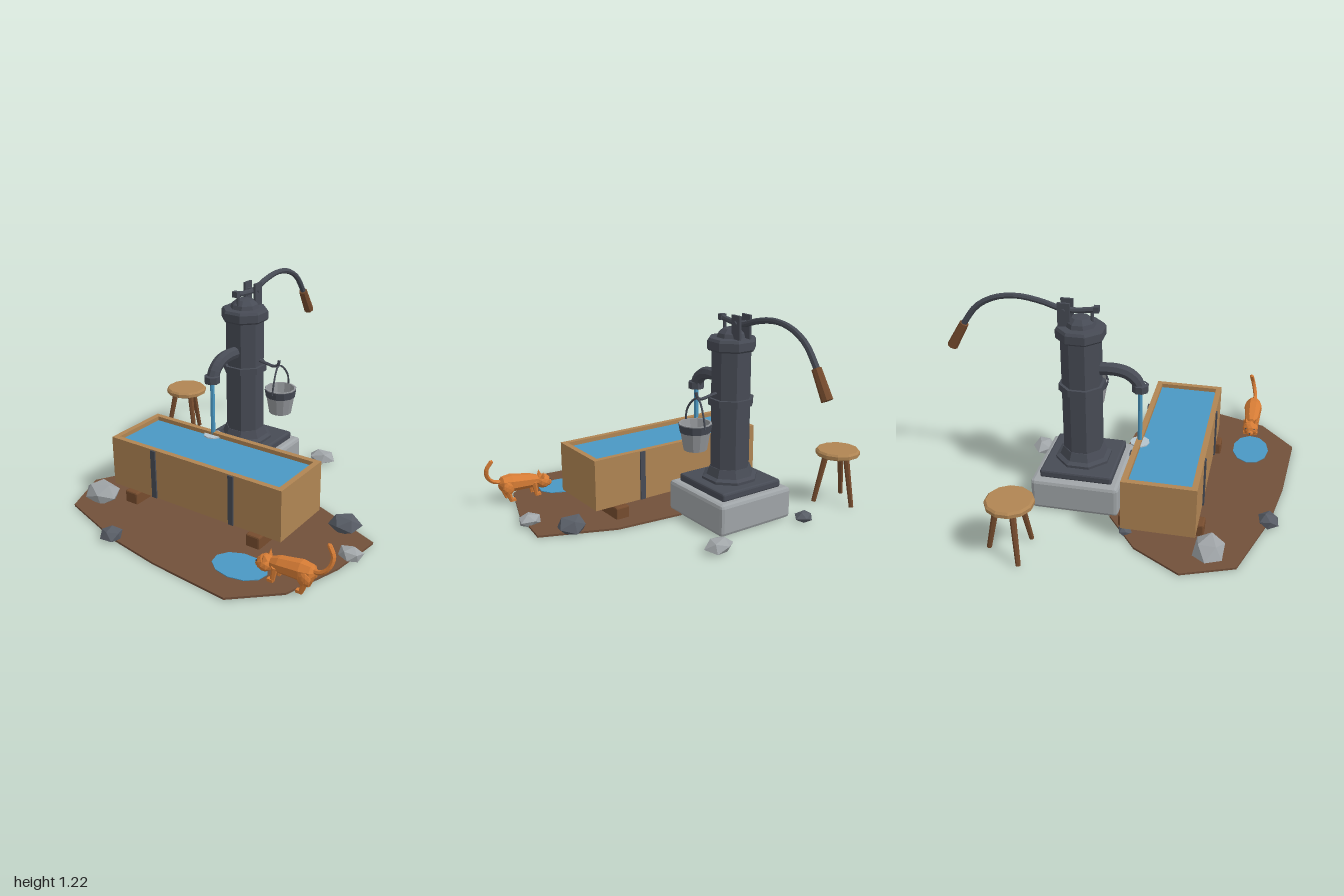
import * as THREE from 'three';
import { RoundedBoxGeometry } from 'three/addons/geometries/RoundedBoxGeometry.js';

const V = (x, y, z) => new THREE.Vector3(x, y, z);

export function createModel() {
  const root = new THREE.Group();
  const mat = (name, color, side = THREE.FrontSide) => {
    const m = new THREE.MeshStandardMaterial({ color, flatShading: true, side });
    m.name = name;
    return m;
  };
  const iron = mat('iron', 0x474b55);
  const darkStone = mat('darkStone', 0x585d66);
  const stone = mat('stone', 0xa0a5a8);
  const steel = mat('steel', 0x94979b);
  const wood = mat('wood', 0xb08553);
  const darkWood = mat('darkWood', 0x764c2e);
  const mud = mat('mud', 0x72503a);
  const water = mat('water', 0x4a98c3, THREE.DoubleSide);
  const fur = mat('fur', 0xd67c35);
  const foam = mat('foam', 0xb5c3cc, THREE.DoubleSide);

  const add = (parent, name, geo, material, x = 0, y = 0, z = 0) => {
    const g = geo.index ? geo.toNonIndexed() : geo;
    g.computeVertexNormals();
    const mesh = new THREE.Mesh(g, material);
    mesh.name = name;
    mesh.position.set(x, y, z);
    parent.add(mesh);
    return mesh;
  };
  const group = (name, x = 0, y = 0, z = 0) => {
    const g = new THREE.Group();
    g.name = name;
    g.position.set(x, y, z);
    root.add(g);
    return g;
  };
  const box = (w, h, d) => new THREE.BoxGeometry(w, h, d);
  const lathe = (pts, sides) =>
    new THREE.LatheGeometry(pts.map(p => new THREE.Vector2(...p)), sides, Math.PI / sides);
  const tube = (pts, r, n = 14, sides = 8) =>
    new THREE.TubeGeometry(new THREE.CatmullRomCurve3(pts), n, r, sides);
  // Tapered round bar between two points
  const bar = (parent, name, a, b, ra, rb, material, sides = 8) => {
    const m = add(parent, name, new THREE.CylinderGeometry(rb, ra, a.distanceTo(b), sides), material);
    m.position.copy(a).lerp(b, 0.5);
    m.quaternion.setFromUnitVectors(V(0, 1, 0), b.clone().sub(a).normalize());
    return m;
  };

  // Mud patch and puddle
  const outline = [[-0.84, 0.46], [-0.68, 0.19], [-0.43, 0], [0.08, -0.07], [0.48, -0.03], [0.9, 0.14],
    [0.86, 0.46], [0.75, 0.79], [0.52, 0.995], [0.04, 0.955], [-0.28, 0.9], [-0.73, 0.75]];
  const shape = new THREE.Shape(outline.map(([x, z]) => new THREE.Vector2(x, -z)));
  add(root, 'mudPatch', new THREE.ExtrudeGeometry(shape, { depth: 0.012, bevelEnabled: false })
    .rotateX(-Math.PI / 2), mud);
  add(root, 'puddle', new THREE.CylinderGeometry(1, 1, 0.005, 11).scale(0.16, 1, 0.112), water, 0.435, 0.014, 0.732);

  // Stone base and iron pump body
  const pump = group('pump', -0.177, 0, -0.207);
  add(pump, 'stoneBase', new RoundedBoxGeometry(0.51, 0.19, 0.51, 1, 0.022), stone, 0, 0.095, 0);
  add(pump, 'footPlate', new RoundedBoxGeometry(0.42, 0.05, 0.42, 1, 0.012), iron, 0, 0.21, 0);
  add(pump, 'flare', lathe([[0, 0.23], [0.165, 0.23], [0.165, 0.25], [0.14, 0.262], [0.12, 0.31], [0, 0.31]], 8), iron);
  add(pump, 'column', lathe([[0.116, 0.28], [0.116, 1.02]], 8), iron);
  add(pump, 'collar', lathe([[0.11, 0.68], [0.134, 0.68], [0.134, 0.72], [0.11, 0.72]], 8), iron);
  add(pump, 'cap', lathe([[0.11, 0.995], [0.134, 0.995], [0.142, 1.005], [0.142, 1.05], [0.132, 1.065],
    [0.088, 1.067], [0.08, 1.09], [0.05, 1.115], [0, 1.12]], 8), iron);
  for (const s of [-1, 1])
    add(pump, 'pivotBracket', box(0.014, 0.14, 0.07), iron, s * 0.036, 1.13, -0.083);
  bar(pump, 'pivotPin', V(-0.05, 1.155, -0.083), V(0.05, 1.155, -0.083), 0.012, 0.012, iron);
  bar(pump, 'pistonRod', V(0, 1.06, 0.065), V(0, 1.165, 0.065), 0.01, 0.01, iron);
  add(pump, 'handle', tube([V(0, 1.165, 0.1), V(0, 1.15, -0.01), V(0, 1.15, -0.1), V(0, 1.183, -0.21),
    V(0, 1.205, -0.35), V(0, 1.186, -0.48), V(0, 1.125, -0.59), V(0, 1.0, -0.685)], 0.017, 20), iron);
  add(pump, 'handleTip', box(0.036, 0.034, 0.03), iron, 0, 1.165, 0.09);
  bar(pump, 'handleGrip', V(0, 1.015, -0.672), V(0, 0.868, -0.757), 0.026, 0.031, darkWood);
  // Spout, falling water and splash
  add(pump, 'spout', tube([V(0, 0.812, 0.08), V(0, 0.815, 0.2), V(0, 0.798, 0.265), V(0, 0.76, 0.31),
    V(0, 0.71, 0.332)], 0.037, 12), iron);
  add(pump, 'spoutMouth', lathe([[0, 0.697], [0.047, 0.697], [0.047, 0.738], [0.03, 0.742]], 8), iron, 0, 0, 0.332);
  add(pump, 'waterStream', new THREE.CylinderGeometry(0.013, 0.013, 0.35, 8), water, 0, 0.53, 0.332);
  add(pump, 'splash', new THREE.CylinderGeometry(0.056, 0.056, 0.008, 10), foam, 0, 0.365, 0.332);
  // Bucket arm
  add(pump, 'bucketHook', tube([V(0.09, 0.757, 0), V(0.16, 0.745, 0), V(0.21, 0.738, 0), V(0.238, 0.752, 0),
    V(0.246, 0.785, 0)], 0.009, 12, 6), iron);

  // Hanging bucket
  const bucket = group('bucket', 0.077, 0.455, -0.212);
  add(bucket, 'bucketStaves', lathe([[0, 0], [0.067, 0], [0.094, 0.155], [0.084, 0.155], [0.058, 0.015], [0, 0.015]], 12), steel);
  add(bucket, 'bucketFloor', new THREE.CylinderGeometry(0.06, 0.06, 0.006, 12), iron, 0, 0.02, 0);
  add(bucket, 'bucketBand', lathe([[0.08, 0.105], [0.0885, 0.105], [0.0965, 0.15], [0.09, 0.15]], 12), iron);
  add(bucket, 'bail', tube([V(0, 0.135, -0.092), V(0.002, 0.215, -0.076), V(-0.008, 0.275, -0.035), V(-0.014, 0.292, 0),
    V(-0.008, 0.275, 0.035), V(0.002, 0.215, 0.076), V(0, 0.135, 0.092)], 0.006, 18, 6), iron);

  // Water trough
  const trough = group('trough', -0.0375, 0, 0.31);
  const W = 1.165, D = 0.41, T = 0.032;
  add(trough, 'troughFloor', box(W - 0.01, 0.03, D - 0.01), wood, 0, 0.097, 0);
  for (const s of [-1, 1]) {
    add(trough, 'troughSide', box(W, 0.303, T), wood, 0, 0.2335, s * (D - T) / 2);
    add(trough, 'troughEnd', box(T, 0.303, D - 2 * T), wood, s * (W - T) / 2, 0.2335, 0);
    for (const x of [-0.272, 0.265])
      add(trough, 'ironStrap', box(0.033, 0.297, 0.009), iron, x, 0.232, s * (D / 2 + 0.0045));
  }
  add(trough, 'troughWater', box(W - 2 * T, 0.01, D - 2 * T), water, 0, 0.355, 0);
  for (const x of [-0.43, 0.425])
    add(trough, 'troughFoot', new RoundedBoxGeometry(0.088, 0.08, 0.48, 1, 0.009), darkWood, x, 0.043, -0.002);

  // Three-legged stool
  const stool = group('stool', -0.825, 0, -0.44);
  add(stool, 'stoolSeat', lathe([[0, 0.3], [0.118, 0.3], [0.133, 0.309], [0.133, 0.329], [0.122, 0.34], [0, 0.34]], 12), wood);
  for (let i = 0; i < 3; i++) {
    const a = -Math.PI / 2 + i * Math.PI * 2 / 3, c = Math.cos(a), s = Math.sin(a);
    bar(stool, 'stoolLeg', V(c * 0.135, 0.004, s * 0.135), V(c * 0.07, 0.31, s * 0.07), 0.014, 0.019, darkWood, 7);
  }

  // Scattered rocks: x, z, half width, height, half depth, material
  const rocks = [[-0.65, 0.6, 0.115, 0.118, 0.092, stone], [-0.31, 0.89, 0.067, 0.072, 0.06, darkStone],
    [0.705, 0.1, 0.09, 0.1, 0.08, darkStone], [0.86, 0.33, 0.07, 0.07, 0.058, stone],
    [0.18, -0.57, 0.086, 0.078, 0.068, stone], [-0.465, -0.545, 0.058, 0.058, 0.052, darkStone],
    [-0.55, 0.115, 0.045, 0.045, 0.04, darkStone]];
  rocks.forEach(([x, z, w, h, d, m], i) => {
    const g = new THREE.IcosahedronGeometry(1, 0).rotateY(i * 1.3 + 0.4).rotateX(0.25);
    const p = g.attributes.position;
    for (let k = 0; k < p.count; k++) {
      const n = 1.02 + 0.1 * Math.sin(p.getX(k) * 5 + p.getZ(k) * 3 + i * 2);
      p.setXYZ(k, p.getX(k) * n * w, Math.max(p.getY(k), -0.6) * h * 0.64, p.getZ(k) * n * d);
    }
    add(root, 'rock', g, m, x, h * 0.38, z);
  });

  // Cat drinking at the puddle
  const cat = group('cat', 0, 0, 0.715);
  const body = lathe([[0, 0], [0.032, 0.012], [0.046, 0.06], [0.05, 0.12], [0.056, 0.19], [0.044, 0.245], [0, 0.268]], 8)
    .rotateZ(-Math.PI / 2);
  add(cat, 'catBody', body, fur, 0.61, 0.1, 0).rotation.z = 0.1;
  add(cat, 'catHead', new THREE.IcosahedronGeometry(0.048, 1).scale(1, 0.95, 1.05), fur, 0.582, 0.085, 0);
  add(cat, 'catMuzzle', new THREE.IcosahedronGeometry(0.024, 1), fur, 0.547, 0.07, 0);
  add(cat, 'catNose', new THREE.OctahedronGeometry(0.007), iron, 0.525, 0.074, 0);
  for (const s of [-1, 1]) {
    add(cat, 'catEar', new THREE.ConeGeometry(0.018, 0.04, 4), fur, 0.592, 0.132, s * 0.03).rotation.x = s * 0.25;
    add(cat, 'catEye', new THREE.OctahedronGeometry(0.007), iron, 0.545, 0.098, s * 0.026);
    bar(cat, 'catFrontLeg', V(0.642, 0.014, s * 0.032), V(0.655, 0.1, s * 0.032), 0.012, 0.018, fur, 6);
    add(cat, 'catThigh', new THREE.IcosahedronGeometry(1, 1).scale(0.038, 0.045, 0.022), fur, 0.825, 0.1, s * 0.036);
    bar(cat, 'catBackLeg', V(0.81, 0.014, s * 0.036), V(0.835, 0.09, s * 0.036), 0.012, 0.02, fur, 6);
    for (const x of [0.634, 0.802])
      add(cat, 'catPaw', box(0.032, 0.016, 0.024), fur, x, 0.021, s * 0.035);
  }
  add(cat, 'catTail', tube([V(0.85, 0.135, 0), V(0.905, 0.148, 0.005), V(0.942, 0.185, -0.005), V(0.953, 0.24, -0.02),
    V(0.925, 0.288, -0.03)], 0.013, 12, 6), fur);
  add(cat, 'catTailTip', new THREE.IcosahedronGeometry(0.014, 0), fur, 0.925, 0.288, -0.03);

  return root;
}
